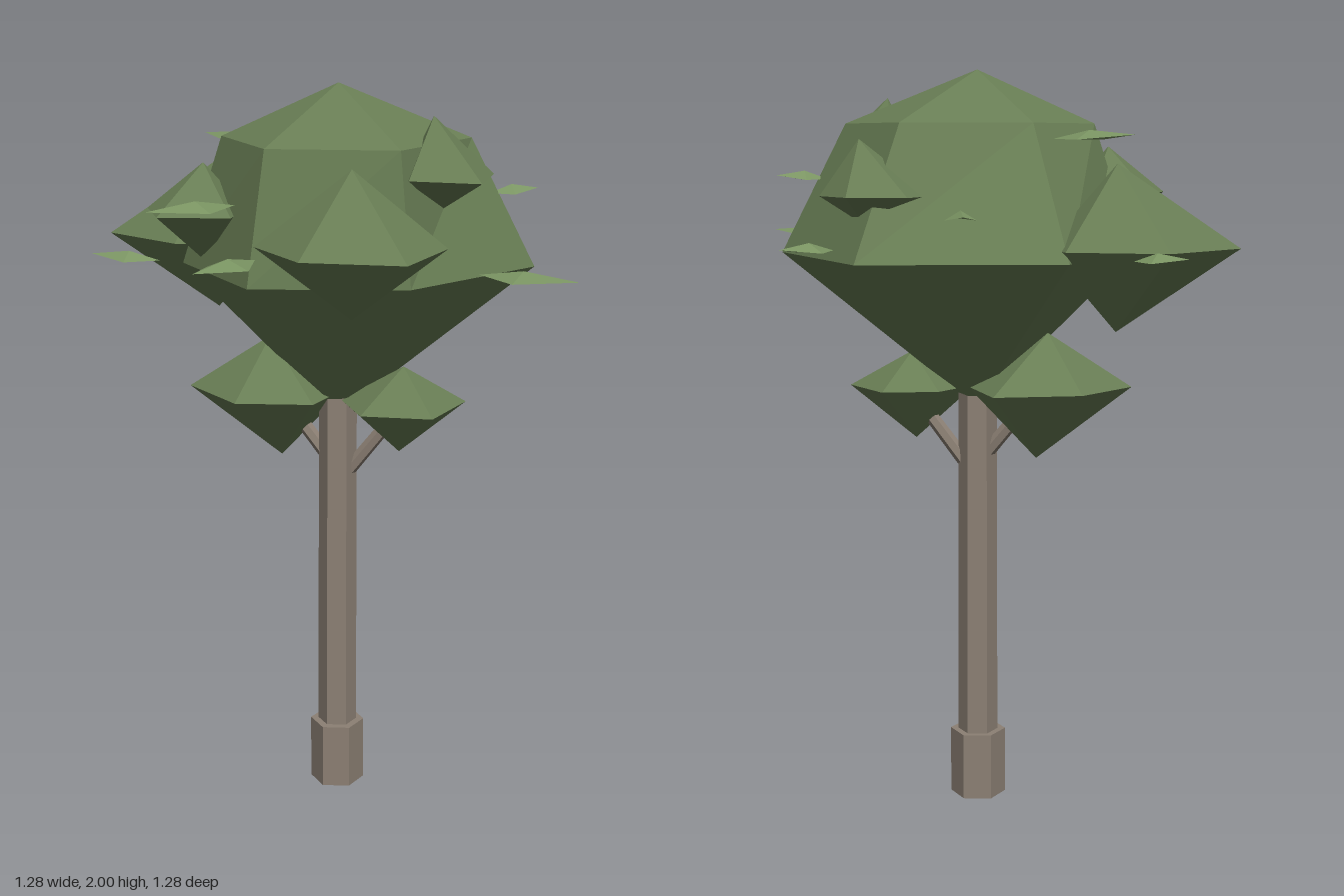
import * as THREE from 'three';

const leafMat = new THREE.MeshStandardMaterial({ color: 0x687d54, flatShading: true });
const bladeMat = new THREE.MeshStandardMaterial({ color: 0x7a9462, flatShading: true, side: THREE.DoubleSide });
const barkMat = new THREE.MeshStandardMaterial({ color: 0x8c8074, flatShading: true });

function facetMesh(name, points, material) {
  const geometry = new THREE.BufferGeometry().setFromPoints(points);
  geometry.computeVertexNormals();
  const mesh = new THREE.Mesh(geometry, material);
  mesh.name = name;
  return mesh;
}

// Faceted foliage: a top point, level rings of [x, z] corners (from +x round by -z), a bottom point.
function foliage(name, top, rings, bottom) {
  const loops = rings.map(([y, corners]) => corners.map(([x, z]) => new THREE.Vector3(x, y, z)));
  const t = new THREE.Vector3(...top), b = new THREE.Vector3(...bottom);
  const n = loops[0].length, last = loops[loops.length - 1], pts = [];
  for (let i = 0; i < n; i++) {
    const j = (i + 1) % n;
    pts.push(loops[0][i], loops[0][j], t);
    for (let k = 1; k < loops.length; k++) {
      const u = loops[k - 1], l = loops[k];
      pts.push(l[i], l[j], u[j], l[i], u[j], u[i]);
    }
    pts.push(last[j], last[i], b);
  }
  return facetMesh(name, pts, leafMat);
}

// Loose leaf: a diamond folded along its midrib, from base to tip at height y.
function leaf(bx, bz, tx, tz, y) {
  const base = new THREE.Vector3(bx, y - 0.01, bz), tip = new THREE.Vector3(tx, y, tz);
  const mid = base.clone().lerp(tip, 0.45).setY(y + 0.012);
  const side = new THREE.Vector3(tz - bz, 0, bx - tx).multiplyScalar(0.22);
  const l = mid.clone().add(side).setY(y - 0.012), r = mid.clone().sub(side).setY(y - 0.012);
  return facetMesh('leaf', [base, l, mid, l, tip, mid, base, mid, r, mid, tip, r], bladeMat);
}

// Six-sided limb between two points.
function limb(name, from, to, r0, r1) {
  const a = new THREE.Vector3(...from), b = new THREE.Vector3(...to);
  const dir = b.clone().sub(a);
  const geometry = new THREE.CylinderGeometry(r1, r0, dir.length(), 6).rotateY(Math.PI / 6);
  const mesh = new THREE.Mesh(geometry, barkMat);
  mesh.position.copy(a).add(b).multiplyScalar(0.5);
  mesh.quaternion.setFromUnitVectors(new THREE.Vector3(0, 1, 0), dir.normalize());
  mesh.name = name;
  return mesh;
}

export function createModel() {
  const tree = new THREE.Group();
  tree.name = 'tree';

  // Trunk, root block and branches
  tree.add(
    limb('trunkBase', [0.03, 0, -0.035], [0.03, 0.185, -0.035], 0.076, 0.076),
    limb('trunk', [0.03, 0.1, -0.037], [0.03, 1.2, -0.037], 0.055, 0.052),
    limb('leftBranch', [0.05, 0.93, -0.035], [0.18, 1.1, -0.01], 0.02, 0.018),
    limb('rightBranch', [0.01, 0.97, -0.045], [-0.11, 1.12, -0.08], 0.02, 0.018),
  );

  // Main crown
  tree.add(foliage('crown', [0.03, 2, -0.04], [
    [1.86, [[0.38, -0.04], [0.21, -0.36], [-0.12, -0.3], [-0.28, -0.04], [-0.14, 0.245], [0.2, 0.26]]],
    [1.52, [[0.555, -0.04], [0.31, -0.525], [-0.21, -0.49], [-0.39, -0.04], [-0.18, 0.315], [0.23, 0.3]]],
  ], [0.03, 1.1, -0.04]));

  // Side clumps
  const clumps = [
    ['frontClump', [0.085, 1.83, 0.385], 1.64,
      [[0.32, 0.385], [0.26, 0.25], [-0.05, 0.24], [-0.155, 0.385], [-0.03, 0.59], [0.225, 0.62]], [0.085, 1.46, 0.385]],
    ['backRightClump', [-0.33, 1.76, -0.335], 1.55,
      [[-0.15, -0.335], [-0.2, -0.505], [-0.45, -0.55], [-0.64, -0.335], [-0.43, -0.16], [-0.24, -0.13]], [-0.33, 1.34, -0.335]],
    ['rightClump', [-0.32, 1.8, 0.035], 1.68,
      [[-0.21, 0.035], [-0.27, -0.135], [-0.42, -0.13], [-0.47, 0.035], [-0.42, 0.205], [-0.23, 0.205]], [-0.32, 1.54, 0.035]],
    ['leftFrontClump', [0.28, 1.93, 0.105], 1.785,
      [[0.435, 0.105], [0.39, 0.015], [0.26, 0.05], [0.21, 0.105], [0.22, 0.26], [0.4, 0.3]], [0.3, 1.69, 0.105]],
    ['backLeftClump', [0.31, 1.82, -0.37], 1.68,
      [[0.41, -0.37], [0.33, -0.5], [0.18, -0.51], [0.13, -0.37], [0.22, -0.28], [0.36, -0.26]], [0.3, 1.61, -0.37]],
    ['lowerRightClump', [-0.16, 1.31, -0.09], 1.165,
      [[0.055, -0.09], [-0.02, -0.3], [-0.25, -0.26], [-0.385, -0.09], [-0.24, 0.1], [-0.03, 0.1]], [-0.13, 0.97, -0.09]],
    ['lowerLeftClump', [0.21, 1.25, 0], 1.155,
      [[0.38, 0], [0.28, -0.15], [0.13, -0.13], [0.04, 0], [0.1, 0.17], [0.29, 0.19]], [0.2, 1.01, 0]],
  ];
  for (const [name, top, y, ring, bottom] of clumps) tree.add(foliage(name, top, [[y, ring]], bottom));

  // Loose leaves: base x, z, tip x, z, height
  const leaves = [
    [0.06, -0.46, 0.04, -0.64, 1.64], [0.37, -0.43, 0.48, -0.59, 1.56], [0.43, -0.04, 0.56, -0.08, 1.725],
    [0.4, 0.24, 0.64, 0.38, 1.56], [-0.15, 0.4, -0.27, 0.64, 1.62], [-0.215, 0.245, -0.41, 0.44, 1.73],
    [-0.44, 0.04, -0.63, 0.0, 1.55], [-0.17, -0.25, -0.37, -0.4, 1.83], [-0.36, -0.51, -0.49, -0.59, 1.54],
  ];
  for (const l of leaves) tree.add(leaf(...l));

  return tree;
}
